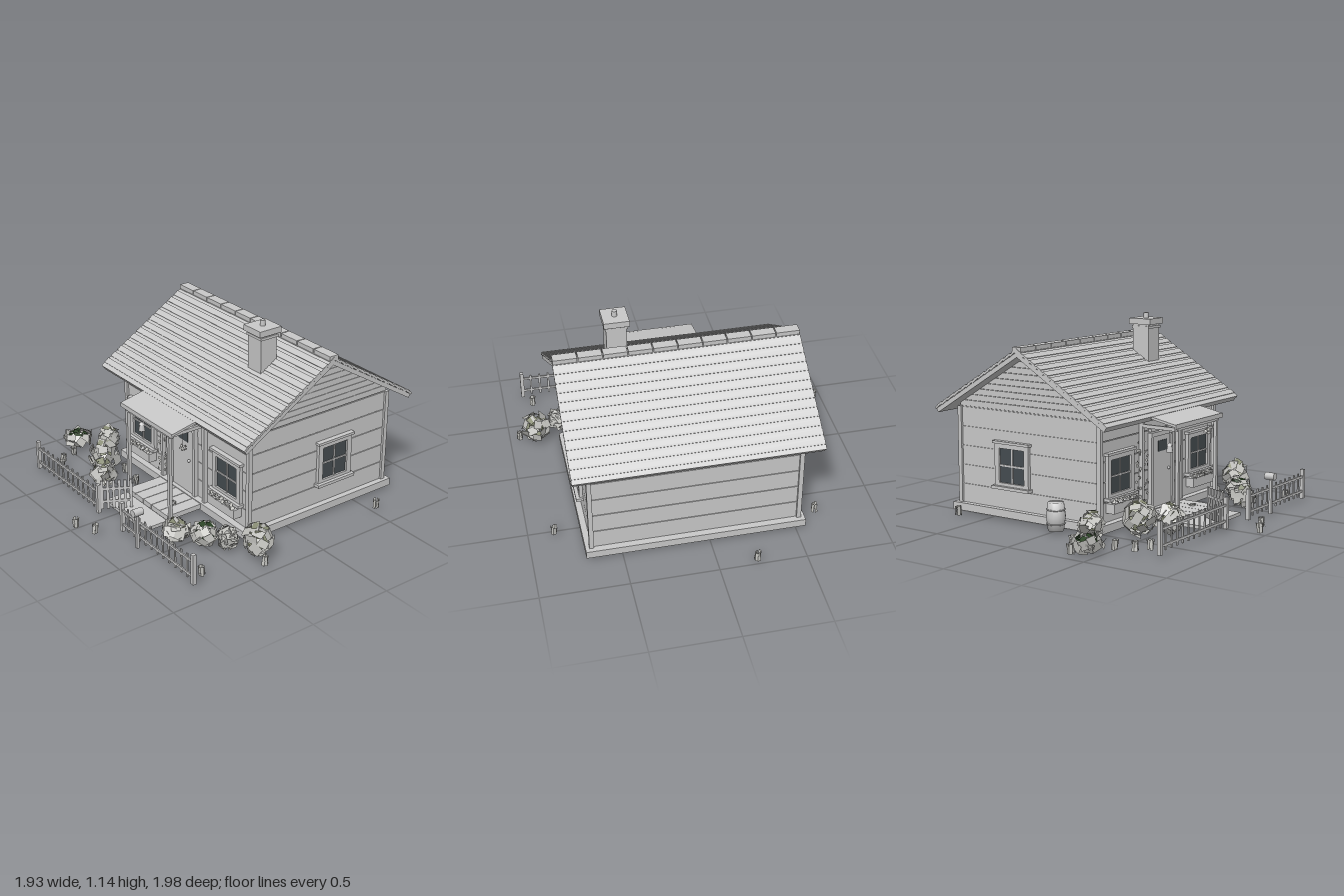
import * as THREE from 'three';
import { mergeGeometries } from 'three/addons/utils/BufferGeometryUtils.js';

export function createModel() {
  const root = new THREE.Group();
  root.name = 'cottage';
  const make = (name, color, side = THREE.FrontSide) => {
    const m = new THREE.MeshStandardMaterial({ color, side });
    m.name = name;
    return m;
  };
  const grey = make('pale grey', 0xc8c8c8);
  const leafGrey = make('grey leaf', 0xc0c0bc, THREE.DoubleSide);
  const olive = make('olive leaf', 0x8c9078, THREE.DoubleSide);
  const green = make('dark green leaf', 0x2c4426, THREE.DoubleSide);
  const glass = make('dark glass', 0x454c50);
  let seed = 7;
  const rnd = (a = 0, b = 1) => {
    seed = (seed * 16807) % 2147483647;
    return a + (b - a) * seed / 2147483647;
  };
  const add = (name, geo, mat = grey, parent = root) => {
    const m = new THREE.Mesh(geo, mat);
    m.name = name;
    parent.add(m);
    return m;
  };
  const bg = (x0, x1, y0, y1, z0, z1) => new THREE.BoxGeometry(x1 - x0, y1 - y0, z1 - z0)
    .translate((x0 + x1) / 2, (y0 + y1) / 2, (z0 + z1) / 2);
  const box = (name, x0, x1, y0, y1, z0, z1, mat = grey, parent = root) =>
    add(name, bg(x0, x1, y0, y1, z0, z1), mat, parent);
  const cyl = (name, rt, rb, h, x, y, z, n = 12) =>
    add(name, new THREE.CylinderGeometry(rt, rb, h, n).translate(x, y, z));

  // Walls: core, horizontal boards, corner posts and plinth
  const X0 = -0.52, X1 = 0.67, Z0 = -0.735, Z1 = 0.26, ZR = -0.235;
  box('foundation', X0 - 0.035, X1 + 0.035, 0.04, 0.085, Z0 - 0.04, Z1 + 0.04);
  box('wallCore', X0 + 0.006, X1 - 0.006, 0.085, 0.655, Z0 + 0.006, Z1 - 0.006);
  const boards = [];
  for (let i = 0; i < 5; i++) {
    const y = 0.085 + i * 0.114;
    boards.push(bg(X0, X1, y, y + 0.11, Z0, Z1));
  }
  add('wallBoards', mergeGeometries(boards));
  for (const x of [X0, X1]) for (const z of [Z0, Z1])
    box('cornerPost', x - 0.013, x + 0.013, 0.085, 0.655, z - 0.013, z + 0.013);

  // Gables: solid triangle with stepped boards over it
  const tri = new THREE.Shape([[-0.5, 0.655], [0.5, 0.655], [0.5, 0.69], [0, 0.995], [-0.5, 0.69]]
    .map(p => new THREE.Vector2(...p)));
  add('gableCore', new THREE.ExtrudeGeometry(tri, { depth: X1 - X0 - 0.02, bevelEnabled: false })
    .rotateY(Math.PI / 2).translate(X0 + 0.01, 0, ZR));
  const steps = [];
  for (let i = 0; i < 9; i++) {
    const y = 0.657 + i * 0.036, w = (0.975 - y) / 0.61;
    steps.push(bg(X0, X1, y, y + 0.034, ZR - Math.min(w, 0.5), ZR + Math.min(w, 0.5)));
  }
  add('gableBoards', mergeGeometries(steps));

  // Main roof: slabs with overlapping rows, ridge caps
  const RX0 = -0.62, RX1 = 0.77, angle = Math.atan2(0.37, 0.605), len = Math.hypot(0.37, 0.605);
  for (const s of [1, -1]) {
    const slope = new THREE.Group();
    slope.name = s > 0 ? 'frontRoof' : 'backRoof';
    slope.position.set((RX0 + RX1) / 2, 1.015, ZR);
    slope.rotation.set(angle, 0, 0);
    if (s < 0) slope.rotation.set(-angle, Math.PI, 0, 'XYZ');
    root.add(slope);
    box('roofSlab', -0.69, 0.69, -0.03, -0.005, 0, len, grey, slope);
    const rows = [], n = 13, d = len / n;
    for (let i = 0; i < n; i++) {
      rows.push(new THREE.BoxGeometry(1.39, 0.012, d + 0.01).rotateX(-0.02 + 0.12 * -1 + 0.02)
        .rotateX(0.24).translate(0, 0.003, (i + 0.5) * d - 0.002));
      rows.push(new THREE.BoxGeometry(1.388, 0.016, 0.012).translate(0, 0.004, (i + 0.45) * d));
    }
    add('shingleRows', mergeGeometries(rows), grey, slope);
  }
  for (let i = 0; i < 10; i++) {
    const w = 0.139;
    box('ridgeCap', RX0 + i * w + 0.003, RX0 + (i + 1) * w - 0.003, 1.005, 1.036, ZR - 0.03, ZR + 0.03);
  }

  // Chimney
  box('chimneyStack', 0.33, 0.445, 0.86, 1.1, -0.1, 0.01);
  box('chimneyCollar', 0.324, 0.451, 1.075, 1.09, -0.106, 0.016);
  box('chimneyCap', 0.315, 0.46, 1.1, 1.135, -0.12, 0.03);
  cyl('chimneyPot', 0.014, 0.016, 0.035, 0.387, 1.15, -0.045);

  // Window, built facing +z around its own centre
  const windowUnit = (name, x, y, z, ry, w, h) => {
    const g = new THREE.Group();
    g.name = name;
    g.position.set(x, y, z);
    g.rotation.y = ry;
    root.add(g);
    const a = w / 2, b = h / 2, t = 0.032;
    box('pane', -a, a, -b, b, 0, 0.008, glass, g);
    for (const s of [-1, 1]) {
      const c = s * (a + t / 2), e = s * (b + t / 2);
      box('jamb', c - t / 2, c + t / 2, -b - t, b + t, -0.005, 0.02, grey, g);
      box('rail', -a - t, a + t, e - t / 2, e + t / 2, -0.005, 0.02, grey, g);
    }
    box('mullion', -0.005, 0.005, -b, b, 0, 0.014, grey, g);
    box('crossbar', -a, a, -0.005, 0.005, 0, 0.014, grey, g);
    box('header', -a - 0.043, a + 0.043, b + 0.027, b + 0.042, 0, 0.03, grey, g);
    box('sill', -a - 0.045, a + 0.045, -b - 0.036, -b - 0.018, 0, 0.04, grey, g);
    return g;
  };
  for (const [n, x] of [['rightFrontWindow', -0.342], ['leftFrontWindow', 0.485]]) {
    const g = windowUnit(n, x, 0.337, Z1, 0, 0.19, 0.19);
    box('flowerBox', -0.12, 0.12, -0.2, -0.145, 0, 0.055, grey, g);
  }
  windowUnit('leftSideWindow', X1, 0.338, -0.345, Math.PI / 2, 0.18, 0.2);
  windowUnit('rightSideWindow', X0, 0.338, -0.345, -Math.PI / 2, 0.18, 0.2);

  // Door
  box('door', -0.025, 0.175, 0.07, 0.5, Z1, Z1 + 0.015);
  box('doorPane', 0.033, 0.123, 0.405, 0.468, Z1 + 0.015, Z1 + 0.018, glass);
  box('doorJamb', -0.048, -0.025, 0.07, 0.52, Z1, Z1 + 0.025);
  box('doorJamb', 0.175, 0.198, 0.07, 0.52, Z1, Z1 + 0.025);
  box('doorHeader', -0.05, 0.2, 0.5, 0.525, Z1, Z1 + 0.028);
  box('nameBoard', -0.045, 0.07, 0.53, 0.548, Z1, Z1 + 0.02);
  add('doorKnob', new THREE.SphereGeometry(0.009, 10, 8).translate(0.14, 0.295, Z1 + 0.022));

  // Porch: lean-to roof, posts, beams, deck and step
  add('porchRoof', new THREE.BoxGeometry(0.51, 0.014, 0.28).rotateX(0.2).translate(0.075, 0.635, 0.39));
  box('porchFascia', -0.18, 0.33, 0.59, 0.616, 0.52, 0.53);
  box('porchBeam', -0.15, 0.3, 0.575, 0.595, 0.502, 0.52);
  for (const x of [-0.13, 0.28]) {
    box('porchPost', x - 0.01, x + 0.01, 0.04, 0.58, 0.503, 0.523);
    box('wallPost', x - 0.01, x + 0.01, 0.085, 0.6, Z1, Z1 + 0.025);
    box('sideBeam', x - 0.008, x + 0.008, 0.57, 0.59, Z1, 0.51);
  }
  for (let i = 0; i < 5; i++)
    box('deckBoard', -0.13 + i * 0.082, -0.051 + i * 0.082, 0.05, 0.08, Z1, 0.53);
  box('frontStep', -0.13, 0.28, 0.035, 0.055, 0.535, 0.685);

  // Hanging lantern
  cyl('lanternCord', 0.002, 0.002, 0.09, -0.1, 0.53, 0.44, 5);
  cyl('lanternBody', 0.013, 0.02, 0.04, -0.1, 0.462, 0.44, 8);
  cyl('lanternCap', 0.004, 0.018, 0.015, -0.1, 0.488, 0.44, 8);
  cyl('plantCord', 0.002, 0.002, 0.09, 0.305, 0.54, 0.44, 5);

  // Picket fence and open gate
  const fence = (name, x0, x1) => {
    const parts = [];
    for (const x of [x0, x1]) parts.push(bg(x - 0.011, x + 0.011, 0.04, 0.22, 0.769, 0.791));
    for (const y of [0.085, 0.175]) parts.push(bg(x0, x1, y - 0.007, y + 0.007, 0.777, 0.785));
    for (let i = 1; i < 12; i++) {
      const x = x0 + (x1 - x0) * i / 12;
      parts.push(bg(x - 0.006, x + 0.006, 0.055, 0.2, 0.775, 0.782));
    }
    add(name, mergeGeometries(parts));
  };
  fence('rightFence', -0.72, -0.05);
  fence('leftFence', 0.2, 0.87);
  const gate = [bg(0, 0.185, 0.1, 0.115, -0.004, 0.004), bg(0, 0.185, 0.18, 0.195, -0.004, 0.004)];
  for (let i = 0; i < 6; i++)
    gate.push(bg(0.005 + i * 0.033, 0.021 + i * 0.033, 0.06, 0.24, -0.006, 0.004));
  const gateMesh = add('gate', mergeGeometries(gate));
  gateMesh.position.set(-0.05, 0, 0.77);
  gateMesh.rotation.y = 1.06;

  // Mailbox and barrel
  box('mailboxPost', 0.392, 0.408, 0.04, 0.24, 0.808, 0.824);
  add('mailbox', new THREE.CylinderGeometry(0.022, 0.022, 0.06, 12).rotateX(Math.PI / 2)
    .translate(0.4, 0.262, 0.812));
  const profile = [[0, 0.04], [0.045, 0.04], [0.055, 0.12], [0.045, 0.2], [0, 0.2]]
    .map(p => new THREE.Vector2(...p));
  add('barrel', new THREE.LatheGeometry(profile, 16).translate(-0.615, 0, 0.03));
  for (const y of [0.08, 0.16])
    add('barrelHoop', new THREE.TorusGeometry(0.051, 0.004, 5, 16).rotateX(Math.PI / 2)
      .translate(-0.615, y, 0.03));

  // Foliage: tilted leaf plates scattered over an ellipsoid
  const leaves = (name, x, y, z, r, h, n, size, mat) => {
    const parts = [];
    for (let i = 0; i < n; i++) {
      const v = 1 - 2 * (i + 0.5) / n, a = i * 2.4, q = Math.sqrt(1 - v * v);
      parts.push(new THREE.PlaneGeometry(size * rnd(0.7, 1.2), size * rnd(0.7, 1.2))
        .rotateZ(rnd(0, 3)).rotateX(-Math.asin(v) + rnd(-0.5, 0.5)).rotateY(a + rnd(-0.4, 0.4))
        .translate(x + Math.sin(a) * q * r, y + v * h, z + Math.cos(a) * q * r));
    }
    add(name, mergeGeometries(parts), mat);
  };
  const bushes = [[-0.86, 0.42, 0.08, 0.1, green], [-0.67, 0.31, 0.055, 0.18, olive],
    [-0.46, 0.48, 0.085, 0.22, olive], [-0.31, 0.58, 0.065, 0.18, olive],
    [0.46, 0.6, 0.065, 0.15, olive], [0.59, 0.5, 0.065, 0.16, green],
    [0.69, 0.42, 0.05, 0.14, leafGrey], [0.84, 0.33, 0.075, 0.21, olive]];
  for (const [x, z, r, h, core] of bushes) {
    const y = 0.03 + h / 2;
    leaves('bushLeaves', x, y, z, r, h / 2 - 0.02, 26, 0.06, leafGrey);
    leaves('bushHeart', x, y + 0.01, z, r * 0.7, h / 2 - 0.02, 14, 0.045, core);
  }
  for (const x of [-0.342, 0.485])
    for (let i = -2; i < 3; i++)
      leaves('windowFlowers', x + i * 0.045, 0.2, 0.3, 0.018, 0.018, 7, 0.02, leafGrey);
  leaves('hangingPlant', 0.305, 0.5, 0.44, 0.02, 0.015, 9, 0.018, leafGrey);

  // Climbing vine beside the door
  const vine = [];
  for (let i = 0; i < 55; i++)
    vine.push(new THREE.PlaneGeometry(0.015, 0.015).rotateZ(rnd(0, 3)).rotateY(rnd(-0.5, 0.5))
      .translate(rnd(-0.19, -0.07), rnd(0.1, 0.5), Z1 + rnd(0.01, 0.02)));
  add('climbingVine', mergeGeometries(vine), leafGrey);

  // Grass tufts: crossed upright blades
  const tufts = [[-0.22, -0.975], [-0.64, -0.66], [0.85, -0.53], [-0.75, 0.52], [-0.71, 0.62],
    [-0.64, 0.67], [0, 0.965], [0.12, 0.91], [0.82, 0.69], [-0.8, 0.28], [0.58, 0.38],
    [0.18, 0.42], [-0.21, 0.42], [-0.37, 0.39], [0.94, 0.36], [-0.95, 0.38]];
  for (const [x, z] of tufts) {
    const blades = [];
    for (let i = 0; i < 6; i++)
      blades.push(new THREE.PlaneGeometry(0.018, 0.055).rotateX(rnd(-0.25, 0.25))
        .translate(0, 0, 0.015).rotateY(i * 1.05 + rnd(0, 0.5)).translate(x, 0.063, z));
    add('grassTuft', mergeGeometries(blades), leafGrey);
  }
  return root;
}
